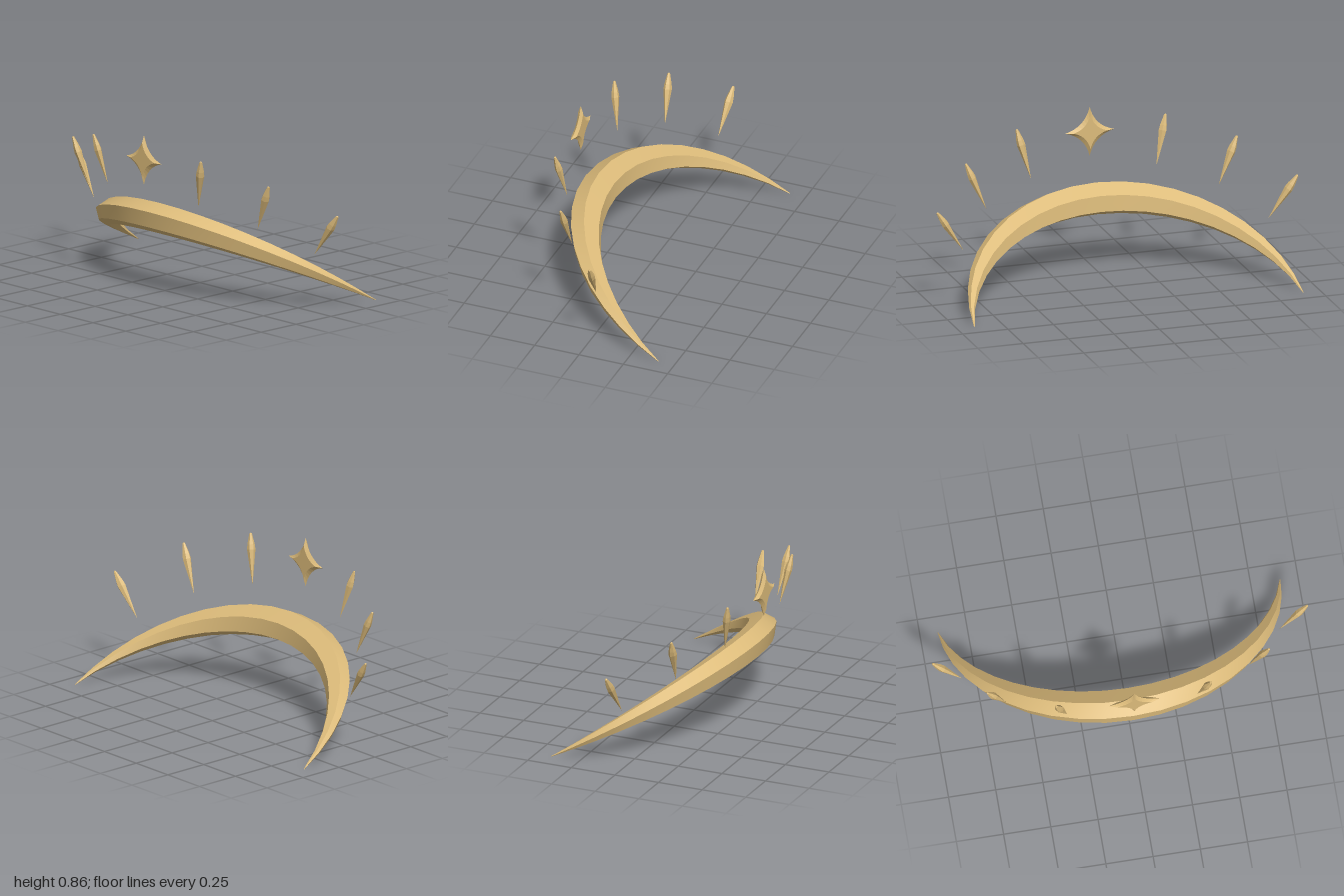
import * as THREE from 'three';

const gold = new THREE.MeshStandardMaterial({ color: 0xdcbb7a });
gold.name = 'gold';

function addMesh(group, geometry, name) {
  const mesh = new THREE.Mesh(geometry, gold);
  mesh.name = name;
  group.add(mesh);
  return mesh;
}

// Tapering six-sided crescent swept along an arc in a tilted plane.
// Each side is its own strip, so the long edges stay sharp.
function bandGeometry() {
  const R = 0.912, maxAngle = THREE.MathUtils.degToRad(83), steps = 20;
  const apex = new THREE.Vector3(0, 0.395, 0.287);
  const forward = new THREE.Vector3(0, 0.492, 0.87).normalize();
  const normal = new THREE.Vector3(0, forward.z, -forward.y);
  const side = new THREE.Vector3(1, 0, 0);
  const cosMax = Math.cos(maxAngle);
  const positions = [], index = [];

  const point = (i, k) => {
    const t = (i / steps * 2 - 1) * maxAngle;
    const taper = Math.max(0.02, (Math.cos(t) - cosMax) / (1 - cosMax));
    const a = k * Math.PI / 3;
    const r = R + 0.098 * taper * Math.cos(a);
    return apex.clone()
      .addScaledVector(forward, r * Math.cos(t) - R)
      .addScaledVector(side, r * Math.sin(t))
      .addScaledVector(normal, 0.081 * taper * Math.sin(a));
  };

  for (let k = 0; k < 6; k++) {
    const base = positions.length / 3;
    for (let i = 0; i <= steps; i++) {
      positions.push(...point(i, k).toArray(), ...point(i, k + 1).toArray());
      if (i < steps) {
        const a = base + i * 2;
        index.push(a, a + 2, a + 3, a, a + 3, a + 1);
      }
    }
  }
  // Tiny end caps
  for (const i of [0, steps]) {
    const base = positions.length / 3;
    for (let k = 0; k < 6; k++) positions.push(...point(i, k).toArray());
    for (let k = 1; k < 5; k++) {
      if (i) index.push(base, base + k, base + k + 1);
      else index.push(base, base + k + 1, base + k);
    }
  }
  const g = new THREE.BufferGeometry();
  g.setAttribute('position', new THREE.Float32BufferAttribute(positions, 3));
  g.setIndex(index);
  g.computeVertexNormals();
  return g;
}

// Four-pointed star with concave sides and bevelled front and back
function starGeometry(size, halfDepth) {
  const shape = new THREE.Shape().moveTo(size, 0);
  const c = size * 0.2;
  for (let q = 1; q <= 4; q++) {
    const a = q * Math.PI / 2, m = a - Math.PI / 4, d = c * Math.SQRT2;
    shape.quadraticCurveTo(d * Math.cos(m), d * Math.sin(m), size * Math.cos(a), size * Math.sin(a));
  }
  const outline = shape.getPoints(8).slice(0, -1);
  const positions = [];
  for (const s of [1, -1]) {
    const tri = (a, b, d) => positions.push(...(s > 0 ? [a, b, d] : [a, d, b]).flat());
    const inner = p => [p.x * 0.7, p.y * 0.7, s * halfDepth];
    outline.forEach((p, i) => {
      const q = outline[(i + 1) % outline.length];
      tri([p.x, p.y, 0], [q.x, q.y, 0], inner(q));
      tri([p.x, p.y, 0], inner(q), inner(p));
      tri(inner(p), inner(q), [0, 0, s * halfDepth]);
    });
  }
  const g = new THREE.BufferGeometry();
  g.setAttribute('position', new THREE.Float32BufferAttribute(positions, 3));
  g.computeVertexNormals();
  return g;
}

// Faceted ray: pointed foot, shoulder at two thirds, narrow blunt top
function rayGeometry(length) {
  const profile = [[0, 0], [0.023, 0.68], [0.02, 0.78], [0.007, 0.985], [0, 1]]
    .map(([r, y]) => new THREE.Vector2(r, y * length));
  const g = new THREE.LatheGeometry(profile, 6).scale(1, 1, 0.85).toNonIndexed();
  g.computeVertexNormals();
  return g;
}

export function createModel() {
  const model = new THREE.Group();
  model.name = 'tiara';

  addMesh(model, bandGeometry(), 'crescentBand');
  addMesh(model, starGeometry(0.134, 0.014), 'centreStar').position.set(0, 0.728, 0.4);

  // Floating rays fanning out on both sides: foot and top of each
  const rays = [
    [[0.345, 0.525, 0.334], [0.41, 0.79, 0.378]],
    [[0.64, 0.435, 0.187], [0.747, 0.688, 0.208]],
    [[0.84, 0.298, -0.032], [0.993, 0.528, -0.056]],
  ];
  for (const s of [1, -1]) {
    rays.forEach(([foot, top], i) => {
      const a = new THREE.Vector3(foot[0] * s, foot[1], foot[2]);
      const b = new THREE.Vector3(top[0] * s, top[1], top[2]);
      const up = b.clone().sub(a);
      const ray = addMesh(model, rayGeometry(up.length()), (s > 0 ? 'left' : 'right') + 'Ray' + (i + 1));
      up.normalize();
      const out = new THREE.Vector3(a.x, 0, a.z + 0.5);
      const across = up.clone().cross(out).normalize();
      out.crossVectors(across, up);
      ray.quaternion.setFromRotationMatrix(new THREE.Matrix4().makeBasis(across, up, out));
      ray.position.copy(a);
    });
  }
  return model;
}
